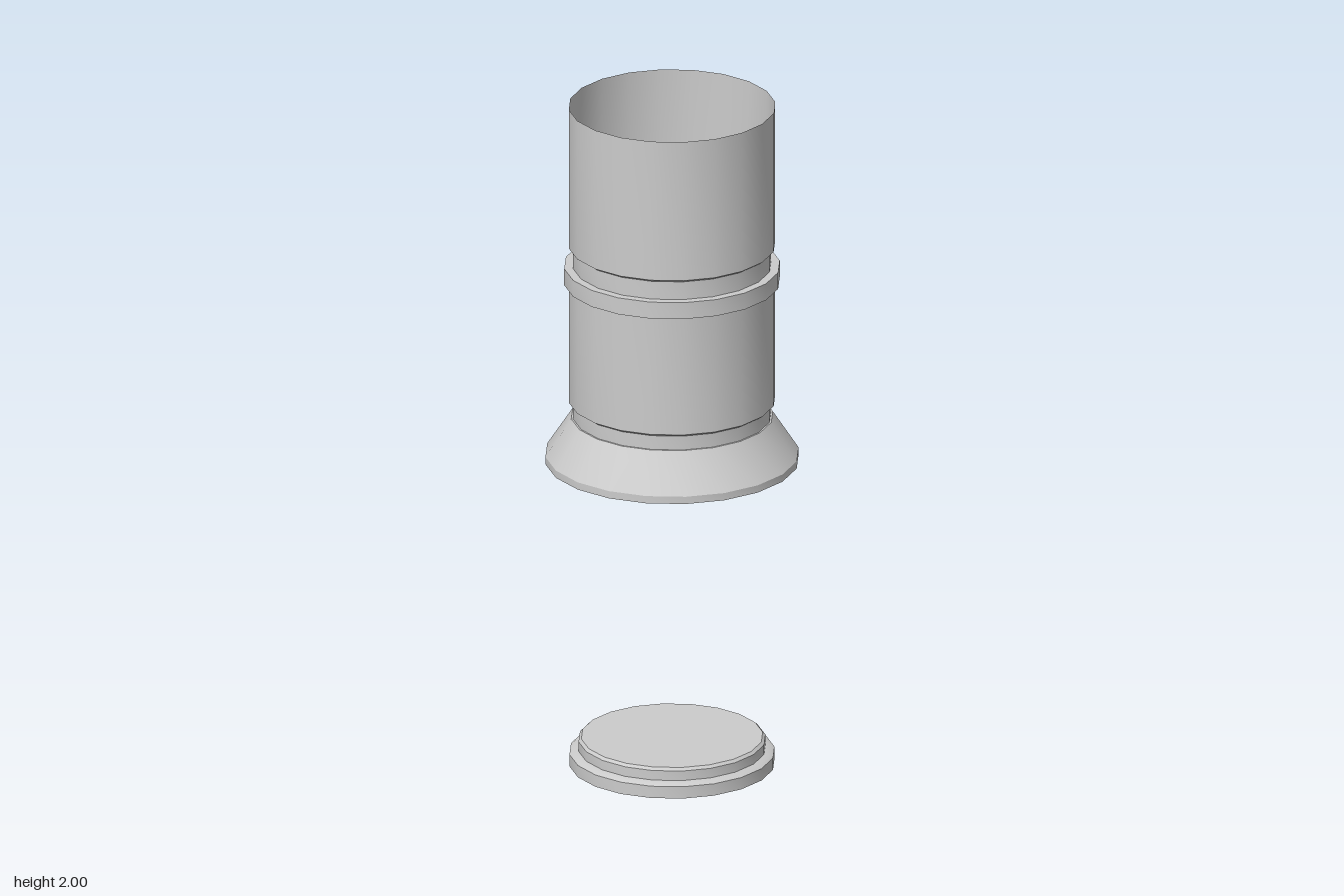
import * as THREE from 'three';
import { toCreasedNormals } from 'three/addons/utils/BufferGeometryUtils.js';

const SIDES = 20;
const material = new THREE.MeshStandardMaterial({ color: 0xcccccc, side: THREE.DoubleSide });

// Revolve a [radius, height] profile, smooth around and sharp along its edges
function turned(name, profile) {
  const points = profile.map(([r, y]) => new THREE.Vector2(r, y));
  const geometry = toCreasedNormals(new THREE.LatheGeometry(points, SIDES), 0.5);
  const mesh = new THREE.Mesh(geometry, material);
  mesh.name = name;
  return mesh;
}

export function createModel() {
  const group = new THREE.Group();
  group.name = 'tubeWithCap';

  // Flared foot with a thick lip, hollow inside
  group.add(turned('flaredFoot', [
    [0.284, 1.05], [0.328, 0.923], [0.363, 0.923], [0.363, 0.945], [0.289, 1.058], [0.284, 1.058],
  ]));

  // Lower barrel, standing on a narrow neck
  group.add(turned('lowerBarrel', [
    [0.284, 1.05], [0.284, 1.1], [0.296, 1.108], [0.296, 1.466],
  ]));

  // Raised band between the barrels
  group.add(turned('band', [
    [0.296, 1.466], [0.309, 1.466], [0.309, 1.516], [0.284, 1.516],
  ]));

  // Upper barrel, thin walled and open at the top
  group.add(turned('upperBarrel', [
    [0.284, 1.516], [0.284, 1.57], [0.296, 1.578], [0.296, 2],
  ]));

  // Separate cap below: stepped outside, hollow underneath
  group.add(turned('cap', [
    [0, 0.066], [0.262, 0.066], [0.27, 0], [0.294, 0], [0.294, 0.036], [0.284, 0.042],
    [0.268, 0.045], [0.268, 0.074], [0.26, 0.082], [0, 0.082],
  ]));

  return group;
}
